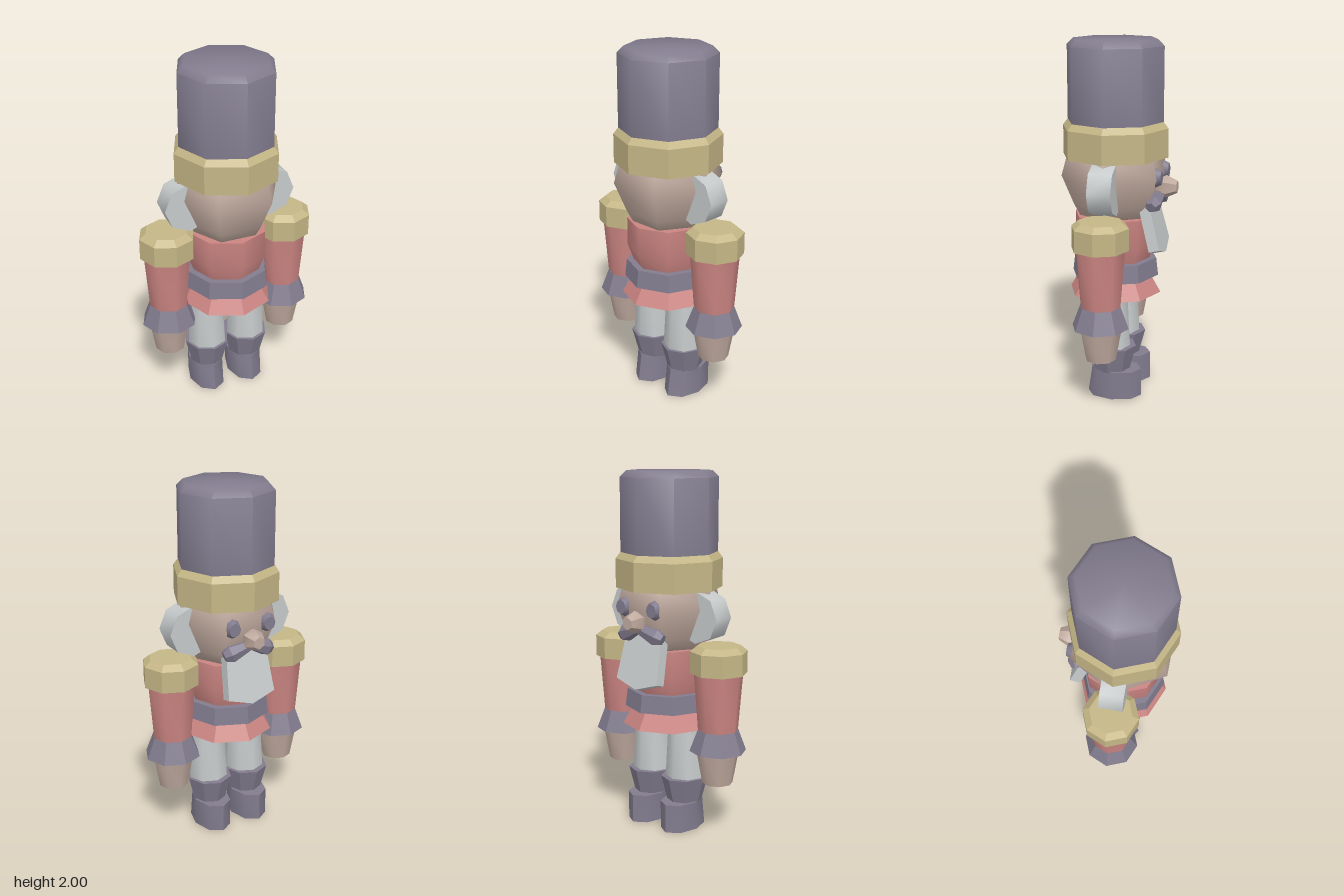
import * as THREE from 'three';
import { toCreasedNormals } from 'three/addons/utils/BufferGeometryUtils.js';

const material = (name, color) => {
  const m = new THREE.MeshStandardMaterial({ color });
  m.name = name;
  return m;
};

const FLAT = 0.1, SMOOTH = 0.9;
const CENTRE_Z = 0.025;

// Closed faceted solid of revolution; profile is [radius, height] from bottom to top
function turned(profile, sides = 8, crease = SMOOTH) {
  const first = profile[0], last = profile[profile.length - 1];
  const points = [[0, first[1]], ...profile, [0, last[1]]].map(([r, y]) => new THREE.Vector2(r, y));
  return toCreasedNormals(new THREE.LatheGeometry(points, sides), crease);
}

export function createModel() {
  const model = new THREE.Group();
  model.name = 'toySoldier';

  const purple = material('dusty purple', 0x827c8e);
  const gold = material('pale gold', 0xc4b686);
  const red = material('faded red', 0xcb8582);
  const skin = material('skin', 0xc0aa9f);
  const white = material('off white', 0xc6cacb);

  const add = (parent, name, geometry, mat, x = 0, y = 0, z = 0) => {
    const mesh = new THREE.Mesh(geometry, mat);
    mesh.name = name;
    mesh.position.set(x, y, z);
    parent.add(mesh);
    return mesh;
  };

  // Tall hat with a gold band
  add(model, 'hat', turned([[0.27, 1.55], [0.27, 1.965], [0.235, 2]]), purple, 0, 0, CENTRE_Z);
  add(model, 'hatBand', turned([[0.297, 1.365], [0.297, 1.525], [0.27, 1.56]], 8, FLAT), gold, 0, 0, CENTRE_Z);

  // Six-sided head, corners pointing sideways
  const head = turned([[0.2, 1.035], [0.235, 1.1], [0.305, 1.27], [0.277, 1.37]], 6, 1.2);
  head.rotateY(Math.PI / 6);
  add(model, 'head', head, skin, 0, 0, CENTRE_Z);

  // Coat, belt and flared skirt
  add(model, 'coat', turned([[0.19, 0.77], [0.23, 0.88], [0.23, 1.04]]), red, 0, 0, CENTRE_Z);
  add(model, 'belt', turned([[0.248, 0.69], [0.236, 0.79]], 8, FLAT), purple, 0, 0, CENTRE_Z);
  add(model, 'coatSkirt', turned([[0.262, 0.59], [0.2, 0.695]], 8, FLAT), red, 0, 0, CENTRE_Z);

  // Nose, pointing forwards along -z
  const nose = turned([[0.035, 0], [0.063, 0.055], [0.035, 0.115]], 6);
  nose.rotateX(-Math.PI / 2);
  add(model, 'nose', nose, skin, 0, 1.205, -0.21);

  // Pointed beard, leaning out at the bottom
  const beardShape = new THREE.Shape([
    [-0.125, 0.14], [-0.145, -0.12], [0, -0.165], [0.145, -0.12], [0.125, 0.14],
  ].map(([x, y]) => new THREE.Vector2(x, y)));
  const beard = new THREE.ExtrudeGeometry(beardShape, { depth: 0.06, bevelEnabled: false });
  beard.translate(0, 0, -0.03);
  add(model, 'beard', beard, white, 0, 0.985, -0.197).rotation.x = 0.25;

  for (const side of [-1, 1]) {
    const prefix = side > 0 ? 'left' : 'right';

    // Hair tufts beside the head
    const hair = turned([[0.143, -0.065], [0.143, 0.065]]);
    hair.rotateX(Math.PI / 2);
    add(model, prefix + 'Hair', hair, white, side * 0.235, 1.225, CENTRE_Z);

    // Eye
    const eye = turned([[0.05, 0], [0.05, 0.025], [0.035, 0.06]]);
    eye.rotateX(-Math.PI / 2);
    eye.scale(1, 1.1, 1);
    add(model, prefix + 'Eye', eye, purple, side * 0.108, 1.275, -0.198);

    // Drooping moustache half, thicker at the outer end
    const inner = new THREE.Vector3(side * 0.005, 1.165, -0.235);
    const outer = new THREE.Vector3(side * 0.145, 1.115, -0.205);
    const along = outer.clone().sub(inner);
    const half = add(model, prefix + 'Moustache',
      turned([[0.028, 0], [0.05, along.length() * 0.75], [0.03, along.length()]], 6, FLAT), purple);
    half.position.copy(inner);
    half.quaternion.setFromUnitVectors(new THREE.Vector3(0, 1, 0), along.normalize());

    // Arm with shoulder pad, sleeve, cuff and hand
    const arm = new THREE.Group();
    arm.name = prefix + 'Arm';
    arm.position.set(side * 0.35, 0, CENTRE_Z - 0.003);
    model.add(arm);
    add(arm, 'shoulderPad', turned([[0.157, 0.93], [0.157, 1.05], [0.12, 1.08]], 8, FLAT), gold);
    add(arm, 'sleeve', turned([[0.11, 0.6], [0.136, 0.94]]), red);
    add(arm, 'cuff', turned([[0.157, 0.49], [0.112, 0.61]], 8, FLAT), purple);
    add(arm, 'hand', turned([[0.085, 0.305], [0.12, 0.5]]), skin);

    // Leg with trouser, boot top and foot
    const leg = new THREE.Group();
    leg.name = prefix + 'Leg';
    leg.position.set(side * 0.122, 0, 0);
    model.add(leg);
    add(leg, 'trouser', turned([[0.115, 0.29], [0.098, 0.62]]), white, 0, 0, CENTRE_Z);

    const bootTop = turned([[0.095, 0.155], [0.13, 0.3]], 8, FLAT);
    bootTop.scale(1, 1, 1.09);
    add(leg, 'bootTop', bootTop, purple, 0, 0, 0.017);

    // Foot has an upright toe and a sloping heel
    const foot = turned([[0.1, 0], [0.1, 0.162]]);
    const p = foot.attributes.position;
    for (let i = 0; i < p.count; i++) {
      const slope = p.getY(i) > 0.1 ? 0.92 : 1;
      p.setZ(i, -0.155 + (p.getZ(i) * 1.55 + 0.155) * slope);
    }
    add(leg, 'foot', toCreasedNormals(foot, SMOOTH), purple);
  }

  return model;
}
